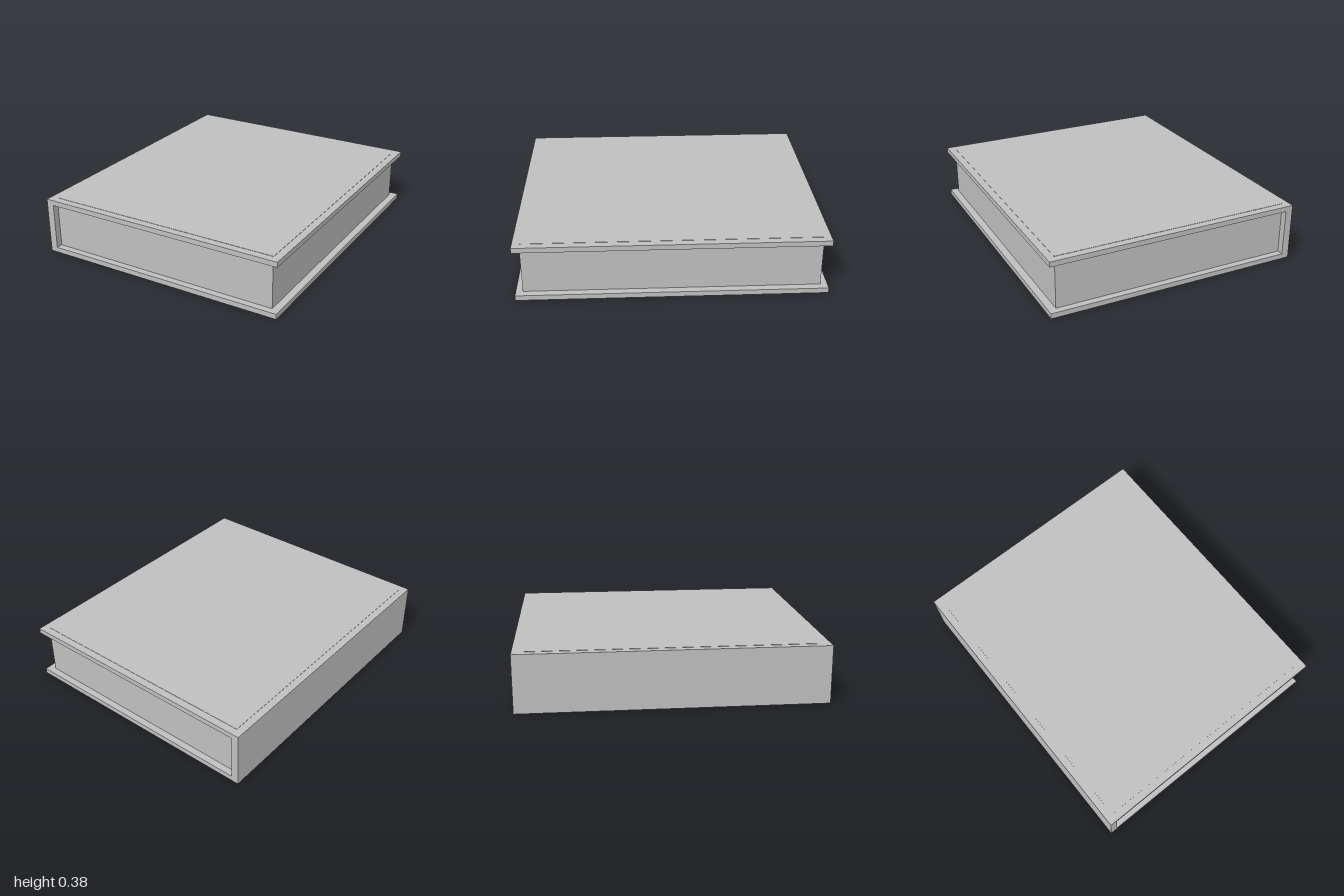
import * as THREE from 'three';

const HALF_W = 0.86, HALF_D = 1, HEIGHT = 0.382, BOARD = 0.035, SPINE = 0.05;

export function createModel() {
  const group = new THREE.Group();
  group.name = 'book';
  const grey = new THREE.MeshStandardMaterial({ color: 0xbfbfbf });
  grey.name = 'light grey';

  const add = (name, geometry, x, y, z) => {
    const mesh = new THREE.Mesh(geometry, grey);
    mesh.name = name;
    mesh.position.set(x, y, z);
    group.add(mesh);
  };

  // Cover: two boards joined by the spine, one C-shaped section
  const inner = -HALF_W + SPINE;
  const section = new THREE.Shape([
    [-HALF_W, 0], [HALF_W, 0], [HALF_W, BOARD], [inner, BOARD],
    [inner, HEIGHT - BOARD], [HALF_W, HEIGHT - BOARD], [HALF_W, HEIGHT], [-HALF_W, HEIGHT],
  ].map(([x, y]) => new THREE.Vector2(x, y)));
  add('cover', new THREE.ExtrudeGeometry(section, { depth: 2 * HALF_D, bevelEnabled: false }), 0, 0, -HALF_D);

  // Page block, set back from the three open edges
  add('pages', new THREE.BoxGeometry(1.62, HEIGHT - 2 * BOARD, 1.91), 0, HEIGHT / 2, 0);

  // Thin panel on the front board
  add('coverPanel', new THREE.BoxGeometry(1.62, 0.002, 1.9), 0, HEIGHT + 0.001, 0);

  return group;
}
